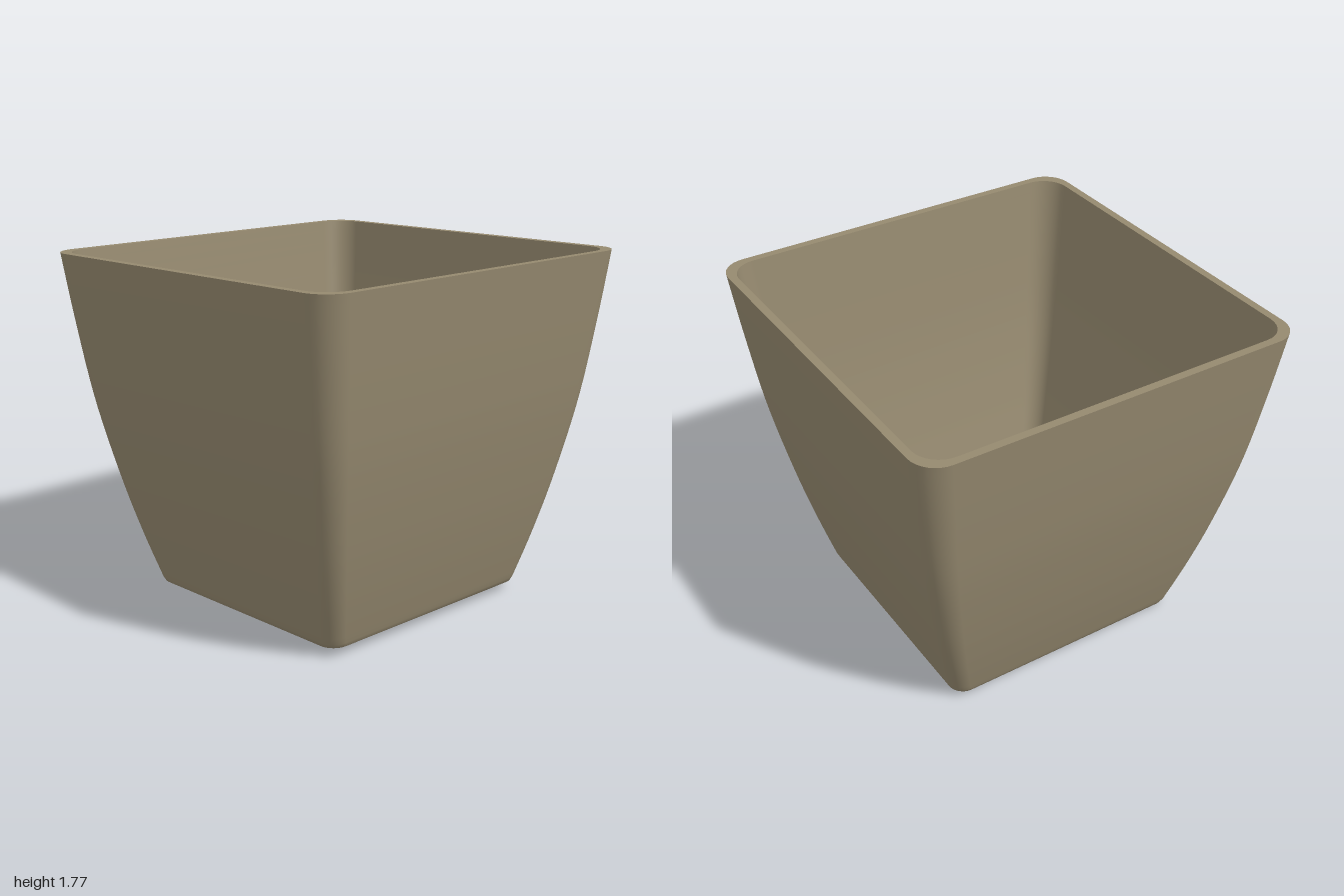
import * as THREE from 'three';

const BASE = 0.03, FLOOR = 0.1, RIM = 1.757;
const clay = new THREE.MeshStandardMaterial({ color: 0x95896f });
clay.name = 'taupe';
const grey = new THREE.MeshStandardMaterial({ color: 0xa6a5ab });
grey.name = 'grey';

// Points of a rounded square, counter-clockwise from above
function roundedSquare(half, radius, steps = 8) {
  const points = [];
  for (let c = 0; c < 4; c++) {
    const mid = Math.PI / 4 + c * Math.PI / 2;
    const k = (half - radius) * Math.SQRT2;
    for (let i = 0; i <= steps; i++) {
      const a = c * Math.PI / 2 + (i / steps) * Math.PI / 2;
      points.push(new THREE.Vector2(
        k * Math.cos(mid) + radius * Math.cos(a),
        k * Math.sin(mid) + radius * Math.sin(a)));
    }
  }
  return points;
}

function circle(x, y, radius, steps = 14) {
  return Array.from({ length: steps }, (_, i) => {
    const a = (i / steps) * Math.PI * 2;
    return new THREE.Vector2(x + radius * Math.cos(a), y + radius * Math.sin(a));
  });
}

// Skin a list of rings { y, points }; rising rings face outward
function loft(rings) {
  const n = rings[0].points.length, pos = [], index = [];
  for (const { y, points } of rings) for (const p of points) pos.push(p.x, y, -p.y);
  for (let i = 0; i < rings.length - 1; i++) {
    for (let j = 0; j < n; j++) {
      const a = i * n + j, b = i * n + (j + 1) % n;
      index.push(a, b, b + n, a, b + n, a + n);
    }
  }
  const g = new THREE.BufferGeometry();
  g.setAttribute('position', new THREE.Float32BufferAttribute(pos, 3));
  g.setIndex(index);
  g.computeVertexNormals();
  return g;
}

// The foot of the pot sits slightly to one side of the rim
const shift = y => 0.02 * (1 - y / RIM);

function squareRing(half, y) {
  const points = roundedSquare(half, 0.08 + 0.055 * y / RIM);
  for (const p of points) p.x += shift(y);
  return { y, points };
}

export function createModel() {
  const group = new THREE.Group();
  const add = (name, geometry, material = clay) => {
    const mesh = new THREE.Mesh(geometry, material);
    mesh.name = name;
    group.add(mesh);
    return mesh;
  };

  // Curved walls, interpolated through a few half-widths
  const curve = new THREE.SplineCurve([
    [0.67, 0.06], [0.738, 0.3], [0.812, 0.6], [0.894, 1], [0.953, 1.4], [0.998, RIM],
  ].map(p => new THREE.Vector2(...p)));
  const profile = curve.getPoints(24);
  const rings = profile.map(p => squareRing(p.x, p.y));
  add('outerWall', loft([squareRing(0.645, BASE), squareRing(0.66, 0.038), ...rings]));

  const innerRings = profile.filter(p => p.y > FLOOR + 0.04)
    .map(p => squareRing(p.x - 0.04, p.y)).reverse();
  add('innerWall', loft([...innerRings, squareRing(0.655, FLOOR + 0.02), squareRing(0.635, FLOOR)]));
  add('rim', loft([squareRing(0.998, RIM), squareRing(0.958, RIM)]));

  // Floor and underside, pierced by four drain holes
  const drains = [[0.44, 0], [-0.4, 0], [0.02, 0.42], [0.02, -0.42]];
  const slab = (half, y) => {
    const shape = new THREE.Shape(squareRing(half, y).points);
    for (const [x, z] of drains) shape.holes.push(new THREE.Path(circle(x, z, 0.072)));
    return new THREE.ShapeGeometry(shape);
  };
  add('floor', slab(0.635, FLOOR).rotateX(-Math.PI / 2).translate(0, FLOOR, 0));
  add('underside', slab(0.645, BASE).rotateX(Math.PI / 2).translate(0, BASE, 0));
  for (const [x, z] of drains) {
    const points = circle(x, z, 0.072);
    add('drainHole', loft([{ y: FLOOR, points }, { y: BASE, points }]));
  }

  // Low bump in the middle of the floor
  const bump = new THREE.SphereGeometry(0.09, 16, 6, 0, Math.PI * 2, 0, Math.PI / 2);
  add('floorBump', bump.scale(1, 0.3, 1).translate(0.02, FLOOR, 0));

  // Small round feet near the corners
  for (const sx of [-1, 1]) for (const sz of [-1, 1]) {
    const foot = new THREE.CylinderGeometry(0.07, 0.06, 0.027, 16);
    add('foot', foot.translate(0.02 + sx * 0.515, 0.0205, sz * 0.515));
  }

  // Grey patch beneath the base
  const patch = new THREE.ShapeGeometry(new THREE.Shape(roundedSquare(0.2, 0.06, 3)));
  add('basePatch', patch.rotateX(Math.PI / 2).translate(0.06, BASE - 0.004, -0.04), grey);

  // Slight lean: the pot rises a little towards +x
  for (const mesh of group.children) {
    const p = mesh.geometry.attributes.position;
    for (let i = 0; i < p.count; i++) p.setY(i, p.getY(i) + 0.0125 * p.getX(i));
  }
  return group;
}
